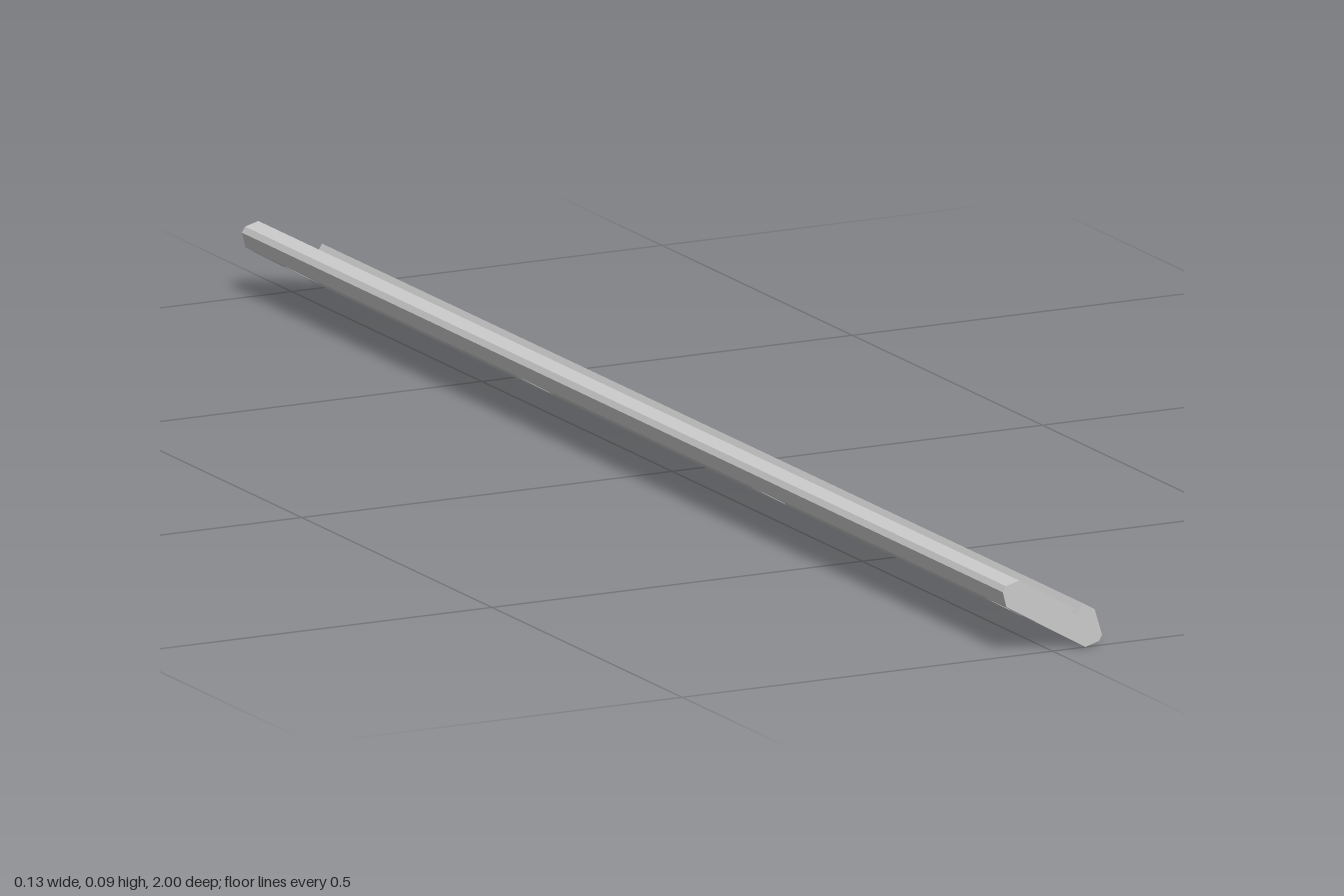
import * as THREE from 'three';
import { mergeGeometries } from 'three/addons/utils/BufferGeometryUtils.js';

const LENGTH = 2, TOP = 0.058, BOTTOM = 0.0225;
const HOLE_X = -0.0435, HOLE_R = 0.0245, HOLE_Z = [-0.925, -0.308, 0.308, 0.925];

// Cross-section before tilting, clockwise seen from the front
const PROFILE = [
  [-0.0985, 0.0365], [-0.0985, 0.0447], [-0.0853, TOP],      // rounded-off outer edge
  [-0.001, TOP], [0, 0.052], [0.0075, 0.052],                // groove
  [0.008, 0.0682], [0.0264, 0.0682],                         // raised lip
  [0.0515, 0.0447], [0.0515, 0.0365], [0.0382, BOTTOM], [-0.0848, BOTTOM],
];

// One long flat face of the bar, facing outwards from the edge a-b
function longFace(a, b) {
  const dx = b[0] - a[0], dy = b[1] - a[1];
  const w = Math.hypot(dx, dy) / 2, h = LENGTH / 2;
  const mx = (a[0] + b[0]) / 2, my = (a[1] + b[1]) / 2;
  const shape = new THREE.Shape([[-w, -h], [w, -h], [w, h], [-w, h]].map(p => new THREE.Vector2(...p)));
  // Only the broad top and bottom faces are drilled
  if (w > 0.03) {
    for (const z of HOLE_Z) {
      shape.holes.push(new THREE.Path().absarc((HOLE_X - mx) * Math.sign(dx), z, HOLE_R, 0, Math.PI * 2, true));
    }
  }
  return new THREE.ShapeGeometry(shape, 16)
    .rotateX(-Math.PI / 2).rotateZ(Math.atan2(dy, dx)).translate(mx, my, 0);
}

export function createModel() {
  const model = new THREE.Group();
  model.name = 'drilledRail';
  const material = new THREE.MeshStandardMaterial({ color: 0xcccccc, side: THREE.DoubleSide });

  const rail = new THREE.Group();
  rail.name = 'tiltedRail';
  rail.rotation.z = -Math.PI / 6;
  model.add(rail);

  // Bar faces
  const faces = PROFILE.map((p, i) => longFace(p, PROFILE[(i + 1) % PROFILE.length]));
  const bar = new THREE.Mesh(mergeGeometries(faces), material);
  bar.name = 'bar';
  rail.add(bar);

  // End faces
  const section = new THREE.Shape(PROFILE.map(p => new THREE.Vector2(...p)));
  for (const s of [1, -1]) {
    const end = new THREE.Mesh(new THREE.ShapeGeometry(section), material);
    end.name = s > 0 ? 'frontEnd' : 'backEnd';
    end.position.z = s * LENGTH / 2;
    rail.add(end);
  }

  // Bolt hole walls
  const wall = new THREE.CylinderGeometry(HOLE_R, HOLE_R, TOP - BOTTOM, 32, 1, true);
  HOLE_Z.forEach((z, i) => {
    const hole = new THREE.Mesh(wall, material);
    hole.name = `boltHole${i + 1}`;
    hole.position.set(HOLE_X, (TOP + BOTTOM) / 2, z);
    rail.add(hole);
  });

  return model;
}
